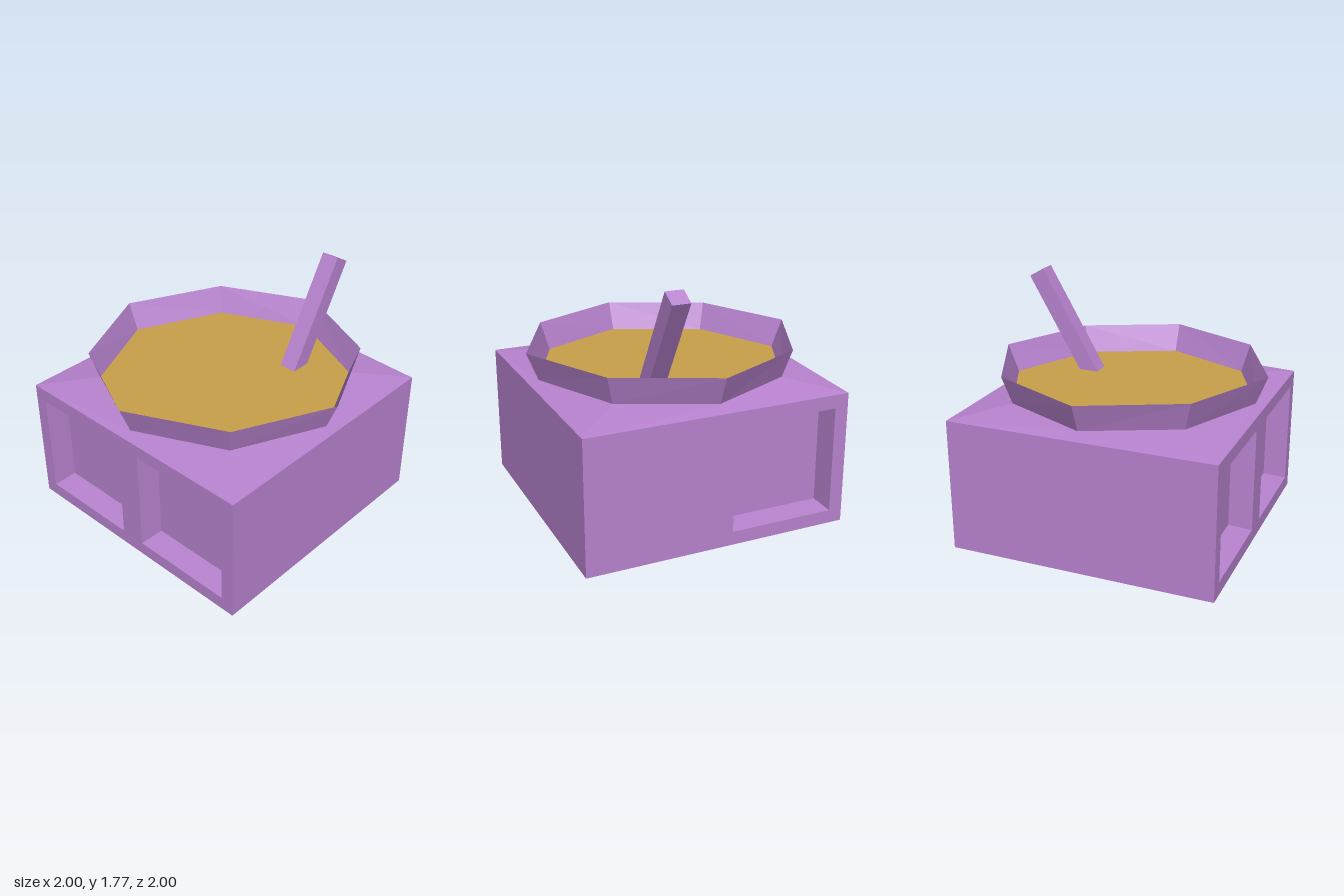
import * as THREE from 'three';

const purple = new THREE.MeshStandardMaterial({ color: 0xb883cf, flatShading: true, side: THREE.DoubleSide });
const gold = new THREE.MeshStandardMaterial({ color: 0xc9a04a, flatShading: true, side: THREE.DoubleSide });

const HALF = 0.96;      // half width of the square body, also its height
const FLOOR_Y = 1.02;   // pan floor
const RIM_Y = 1.22;     // top of the flared rim

// Flat-shaded surface from convex polygons, each a list of [x, y, z] corners
function facets(polygons) {
  const pos = [];
  for (const p of polygons) {
    for (let i = 1; i < p.length - 1; i++) pos.push(...p[0], ...p[i], ...p[i + 1]);
  }
  const g = new THREE.BufferGeometry();
  g.setAttribute('position', new THREE.Float32BufferAttribute(pos, 3));
  g.computeVertexNormals();
  return g;
}

function part(name, geometry, material = purple) {
  const m = new THREE.Mesh(geometry, material);
  m.name = name;
  return m;
}

// Eight-sided ring whose diagonal corners sit at (diag, diag)
function octagon(axis, diag, y) {
  return Array.from({ length: 8 }, (_, i) => {
    const a = (i * Math.PI) / 4;
    const r = i % 2 ? diag * Math.SQRT2 : axis;
    return [Math.sin(a) * r, y, Math.cos(a) * r];
  });
}

// Quads joining two rings of equal length, facing outward when a is the lower ring
function band(a, b) {
  return a.map((p, i) => {
    const j = (i + 1) % a.length;
    return [p, a[j], b[j], b[i]];
  });
}

function square(cx, cy, half, z) {
  return [[-1, -1], [1, -1], [1, 1], [-1, 1]].map(([u, v]) => [cx + u * half, cy + v * half, z]);
}

// One side of the body facing +z, with tapered recesses centred at the given x positions
function wall(name, windows) {
  const group = new THREE.Group();
  group.name = name;
  const shape = new THREE.Shape([
    new THREE.Vector2(-HALF, 0), new THREE.Vector2(HALF, 0),
    new THREE.Vector2(HALF, HALF), new THREE.Vector2(-HALF, HALF),
  ]);
  for (const cx of windows) {
    const outer = square(cx, 0.48, 0.383, HALF);
    const inner = square(cx, 0.48, 0.364, HALF - 0.17);
    shape.holes.push(new THREE.Path(outer.map(([x, y]) => new THREE.Vector2(x, y)).reverse()));
    group.add(part('recess', facets([inner, ...band(outer, inner).map((q) => q.reverse())])));
  }
  group.add(part('wallPanel', new THREE.ShapeGeometry(shape).translate(0, 0, HALF)));
  return group;
}

export function createModel() {
  const model = new THREE.Group();
  model.name = 'panOnStove';

  // Body sides: one recess on the left, two on the right, plain front and back
  const sides = [['frontWall', []], ['leftWall', [0.478]], ['backWall', []], ['rightWall', [-0.478, 0.478]]];
  sides.forEach(([name, windows], i) => {
    const w = wall(name, windows);
    w.rotation.y = (i * Math.PI) / 2;
    model.add(w);
  });
  const bottom = part('bottom', new THREE.PlaneGeometry(2 * HALF, 2 * HALF));
  bottom.rotation.x = Math.PI / 2;
  model.add(bottom);

  // Shoulder from the square body up to the octagonal pan, one fan per side
  const low = octagon(0.92, 0.63, FLOOR_Y);
  const fan = [[-HALF, HALF, HALF], [HALF, HALF, HALF], low[1], low[0], low[7]];
  for (let i = 0; i < 4; i++) {
    const s = part('shoulder', facets([fan]));
    s.rotation.y = (i * Math.PI) / 2;
    model.add(s);
  }

  // Flared rim and its filled floor
  model.add(part('rim', facets(band(low, octagon(1, 0.68, RIM_Y)))));
  model.add(part('panFilling', facets([low]), gold));

  // Leaning square handle, its lower end sunk into the filling
  const length = 0.93;
  const handle = part('handle', new THREE.BoxGeometry(0.126, length, 0.13).translate(0, -length / 2, 0));
  handle.position.set(0.854, 1.738, 0.275);
  handle.rotation.z = -Math.PI / 6;
  model.add(handle);

  return model;
}
